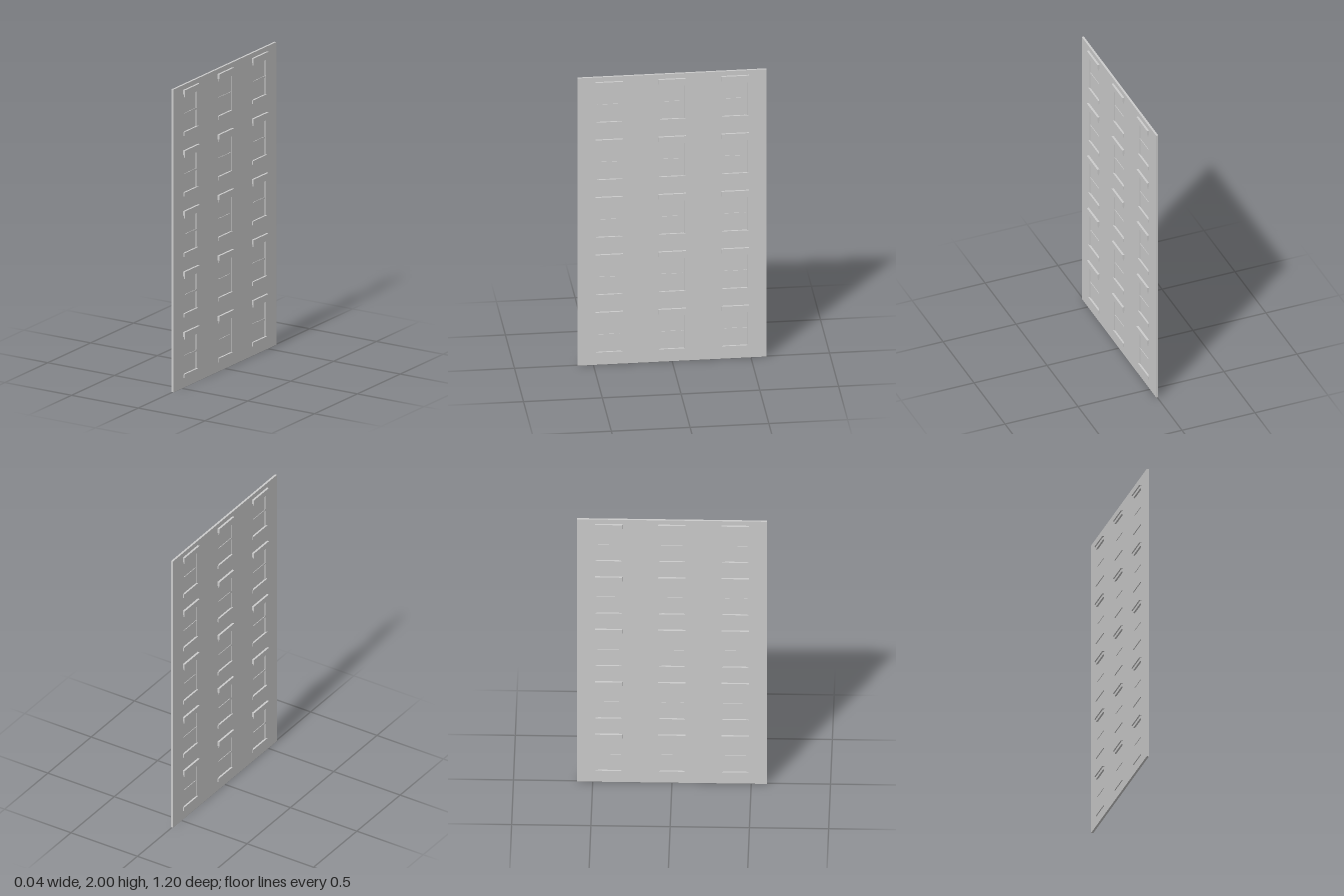
import * as THREE from 'three';

const material = new THREE.MeshStandardMaterial({ color: 0xcccccc, flatShading: true });

const WALL = 0.014;                    // wall thickness
const OPEN_W = 0.154;                  // window opening width
const OPEN_BOTTOM = 0.288, OPEN_TOP = 0.518; // opening height range inside a row, offset below
const COLUMNS = [-0.4, 0, 0.4];
const ROWS = [0, 1, 2, 3, 4].map((i) => i * 0.4 - 0.2);

function rect(path, x0, y0, x1, y1) {
  path.moveTo(x0, y0);
  path.lineTo(x1, y0);
  path.lineTo(x1, y1);
  path.lineTo(x0, y1);
  path.closePath();
  return path;
}

// Box spanning a height range, centred on the wall plane
function slab(name, depth, y0, y1, width, z = 0) {
  const mesh = new THREE.Mesh(new THREE.BoxGeometry(depth, y1 - y0, width), material);
  mesh.name = name;
  mesh.position.set(0, (y0 + y1) / 2, z);
  return mesh;
}

// One window: both faces of the wall carry the same trim
function makeWindow() {
  const win = new THREE.Group();
  win.name = 'window';
  const mid = (OPEN_BOTTOM + OPEN_TOP) / 2;
  win.add(
    slab('lintelCap', 0.042, 0.537, 0.568, 0.173),
    slab('lintelBase', 0.025, OPEN_TOP, 0.537, OPEN_W),
    slab('sill', 0.026, 0.264, OPEN_BOTTOM, 0.166),
    slab('pane', 0.002, OPEN_BOTTOM, OPEN_TOP, OPEN_W),
    slab('meetingRail', 0.009, mid - 0.006, mid + 0.006, OPEN_W)
  );
  for (const side of [-1, 1]) {
    win.add(slab('stile', 0.006, OPEN_BOTTOM, OPEN_TOP, 0.01, side * (OPEN_W / 2 - 0.005)));
  }
  return win;
}

export function createModel() {
  const model = new THREE.Group();
  model.name = 'facade';

  // Wall panel pierced by the window openings
  const shape = rect(new THREE.Shape(), -0.6, 0, 0.6, 2);
  for (const z of COLUMNS) {
    for (const y of ROWS) {
      shape.holes.push(rect(new THREE.Path(),
        z - OPEN_W / 2, y + OPEN_BOTTOM, z + OPEN_W / 2, y + OPEN_TOP));
    }
  }
  const geometry = new THREE.ExtrudeGeometry(shape, { depth: WALL, bevelEnabled: false });
  geometry.translate(0, 0, -WALL / 2);
  geometry.rotateY(Math.PI / 2);
  const wall = new THREE.Mesh(geometry, material);
  wall.name = 'wall';
  model.add(wall);

  // Grid of windows
  for (const z of COLUMNS) {
    for (const y of ROWS) {
      const win = makeWindow();
      win.position.set(0, y, z);
      model.add(win);
    }
  }
  return model;
}
